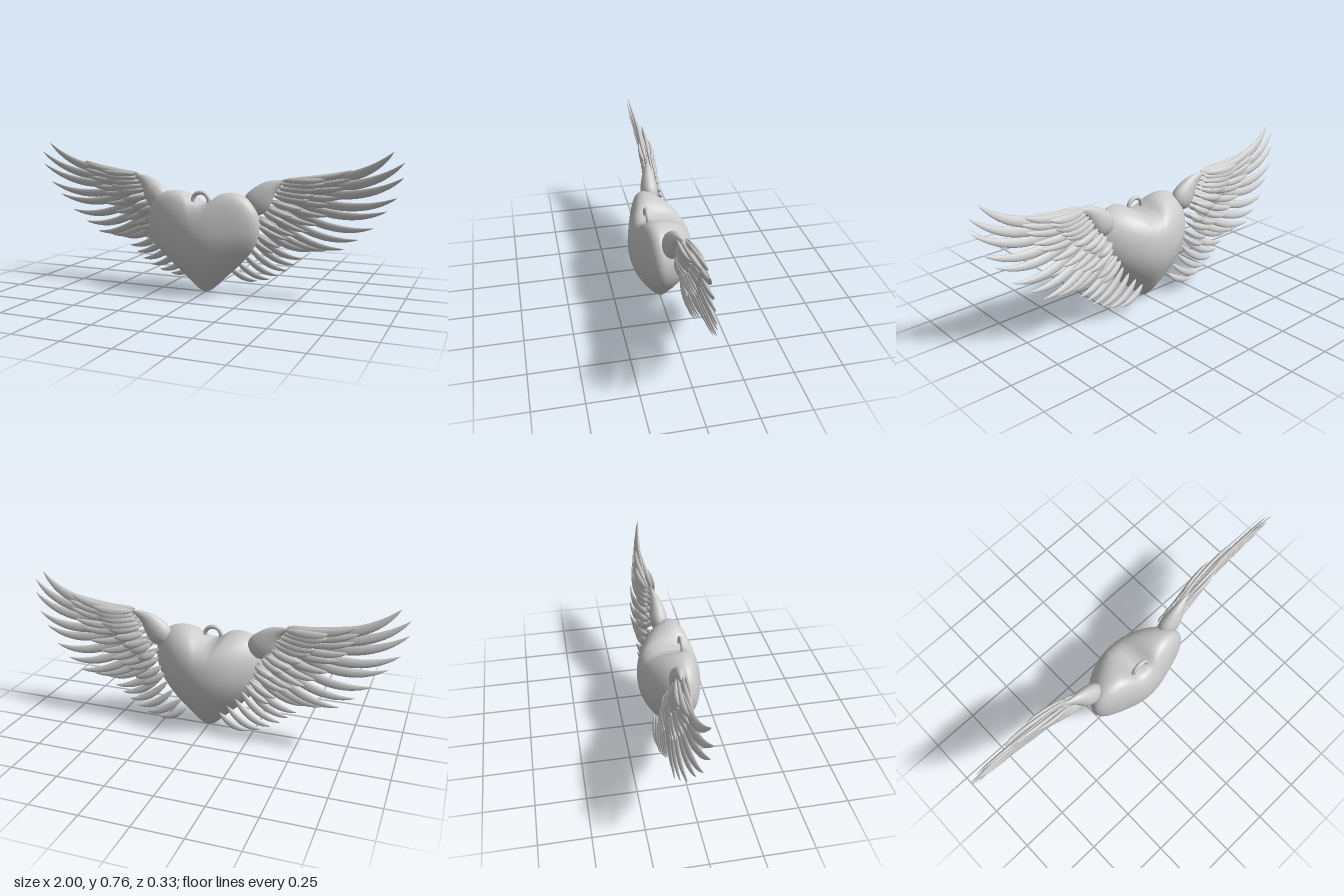
import * as THREE from 'three';
import { mergeVertices } from 'three/addons/utils/BufferGeometryUtils.js';

const material = new THREE.MeshStandardMaterial({ color: 0xcccccc });
const V = (x, y, z) => new THREE.Vector3(x, y, z);
const { lerp, clamp, smoothstep } = THREE.MathUtils;

function add(group, name, geometry) {
  const mesh = new THREE.Mesh(geometry, material);
  mesh.name = name;
  group.add(mesh);
}

// Closed tapered sweep with an elliptical section; tilt turns the section about the path
function sweep(curve, width, thickness, profile, tilt = 0, steps = 16, sides = 10) {
  const pos = [], index = [];
  for (let i = 0; i <= steps; i++) {
    const t = i / steps, c = curve.getPoint(t), T = curve.getTangent(t);
    const N = V(0, 0, 1).cross(T).normalize().applyAxisAngle(T, tilt);
    const B = T.clone().cross(N);
    const k = Math.max(profile(t), 0.01);
    for (let j = 0; j < sides; j++) {
      const a = (j / sides) * Math.PI * 2;
      const p = c.clone()
        .addScaledVector(N, width * k * Math.cos(a))
        .addScaledVector(B, thickness * k * Math.sin(a));
      pos.push(p.x, p.y, p.z);
      if (i < steps) {
        const j2 = (j + 1) % sides, a0 = i * sides + j, b0 = i * sides + j2;
        index.push(a0, b0, a0 + sides, b0, b0 + sides, a0 + sides);
      }
    }
  }
  const g = new THREE.BufferGeometry();
  g.setAttribute('position', new THREE.Float32BufferAttribute(pos, 3));
  g.setIndex(index);
  g.computeVertexNormals();
  return g;
}

function flip(g) {
  const ix = g.index.array;
  for (let i = 0; i < ix.length; i += 3) [ix[i], ix[i + 1]] = [ix[i + 1], ix[i]];
  g.computeVertexNormals();
  return g;
}
const mirrored = (g) => flip(g.clone().scale(-1, 1, 1));

// Sphere whose rings go from round at the poles to a heart outline at the rim
function heartGeometry() {
  const half = new THREE.CatmullRomCurve3([
    [0, 0.475], [0.04, 0.488], [0.1, 0.53], [0.17, 0.54], [0.24, 0.515], [0.292, 0.45],
    [0.307, 0.36], [0.275, 0.26], [0.2, 0.17], [0.1, 0.075], [0.03, 0.012], [0, 0.002],
  ].map(([x, y]) => V(x, y, 0)));
  const cols = 80, rows = 48, cy = 0.31;
  const g = new THREE.SphereGeometry(1, cols, rows);
  const p = g.attributes.position;
  for (let i = 0; i < p.count; i++) {
    // longitude runs round the outline, latitude from front pole to back pole
    const row = Math.floor(i / (cols + 1)), u = (i % (cols + 1) % cols) / cols;
    const o = half.getPoint(u <= 0.5 ? u * 2 : 2 - u * 2);
    if (u > 0.5) o.x *= -1;
    o.y -= cy;
    const phi = (row / rows) * Math.PI, c = Math.cos(phi);
    const r = row === rows ? 0 : Math.sin(phi);
    const down = clamp(-o.y / cy, 0, 1);
    const round = o.clone().setLength(0.25);
    const q = round.lerp(o, r * r).multiplyScalar(r);
    // rim leans forward except at the bottom tip
    const lean = 0.045 * Math.pow(r, 4) * smoothstep(cy + q.y, 0.05, 0.35);
    const z = 0.163 * Math.sign(c) * Math.pow(Math.abs(c), 1.05 + 0.35 * down);
    p.setXYZ(i, q.x, cy + q.y, z + lean);
  }
  g.deleteAttribute('uv');
  g.deleteAttribute('normal');
  const m = mergeVertices(g, 1e-5);
  m.computeVertexNormals();
  // the front pole is the first vertex; its normal must face forward
  return m.attributes.normal.getZ(0) < 0 ? flip(m) : m;
}

// Wing surface: leans back towards the bottom and bows back midway along the span
const wingZ = (x, y) => 0.15 * y - 0.113 - 0.028 * Math.sin(Math.PI * clamp((x - 0.4) / 0.6, 0, 1));
const quill = (t) => Math.pow(Math.sin(Math.PI * Math.pow(t, 0.8)), 0.75);
const blunt = (t) => Math.pow(Math.sin(Math.PI * Math.pow(t, 0.9)), 0.6);

// Feather from root to tip that sags and then sweeps up
function feather(rx, ry, tx, ty, width, dz, profile, sag) {
  const dx = tx - rx, dy = ty - ry;
  const mx = rx + dx * 0.62 + dy * sag, my = ry + dy * 0.62 - dx * sag;
  const curve = new THREE.QuadraticBezierCurve3(
    V(rx, ry, wingZ(rx, ry) + dz * 0.7),
    V(mx, my, wingZ(mx, my) + dz * 1.3),
    V(tx, ty, wingZ(tx, ty) + dz * 0.8));
  return sweep(curve, width, 0.011, profile, 0.3);
}

// Flight feathers, top to bottom: root x, root y, tip x, tip y
const flight = [
  [0.50, 0.61, 0.95, 0.765], [0.48, 0.59, 1.0, 0.715], [0.45, 0.57, 1.0, 0.645],
  [0.42, 0.55, 0.97, 0.545], [0.40, 0.53, 0.92, 0.475], [0.37, 0.50, 0.855, 0.385],
  [0.33, 0.47, 0.78, 0.32], [0.30, 0.45, 0.71, 0.265], [0.27, 0.41, 0.63, 0.255],
  [0.26, 0.37, 0.56, 0.25], [0.24, 0.33, 0.50, 0.20], [0.22, 0.30, 0.46, 0.165],
  [0.20, 0.26, 0.42, 0.13], [0.17, 0.215, 0.37, 0.10], [0.13, 0.17, 0.32, 0.075],
  [0.09, 0.13, 0.25, 0.06],
];

// Covert rows: reach along the flight feather, depth in front and behind, number of feathers
const coverts = [
  { name: 'longCovert', reach: 0.56, front: 0.016, back: -0.014, count: 12 },
  { name: 'shortCovert', reach: 0.28, front: 0.036, back: -0.028, count: 9 },
];

export function createModel() {
  const model = new THREE.Group();
  model.name = 'wingedHeart';
  add(model, 'heart', heartGeometry());

  // Hanging loop
  add(model, 'loop', new THREE.TorusGeometry(0.044, 0.011, 14, 40).translate(0, 0.493, 0.067));

  // One wing's parts, used on both sides
  const parts = [];
  const arm = new THREE.CatmullRomCurve3([
    V(0.235, 0.44, -0.002), V(0.29, 0.507, -0.002), V(0.35, 0.57, -0.008), V(0.43, 0.612, -0.022)]);
  parts.push(['shoulder', sweep(arm, 0.066, 0.046, (t) => Math.sin(Math.PI * Math.pow(t, 0.52)), 0, 28, 20)]);

  flight.forEach(([rx, ry, tx, ty], i) => {
    const width = lerp(0.026, 0.018, i / 15);
    parts.push(['flightFeather', feather(rx, ry, tx, ty, width, 0, quill, 0.22)]);
    for (const { name, reach, front, back, count } of coverts) {
      if (i >= count) continue;
      const inset = 0.09 * Math.max(0, 1 - i / 7);
      const ex = lerp(rx, tx, reach);
      const ey = lerp(ry, ty, reach) - 0.03 * Math.max(0, 1 - i / 4);
      parts.push([name, feather(rx - inset, ry, ex, ey, width * 0.8, front, quill, 0.12)]);
      parts.push([name, feather(rx - inset, ry, ex, ey, width * 0.85, back, blunt, 0.12)]);
    }
  });

  for (const side of ['left', 'right']) {
    const wing = new THREE.Group();
    wing.name = side + 'Wing';
    for (const [name, g] of parts) add(wing, name, side === 'left' ? g : mirrored(g));
    model.add(wing);
  }
  return model;
}
